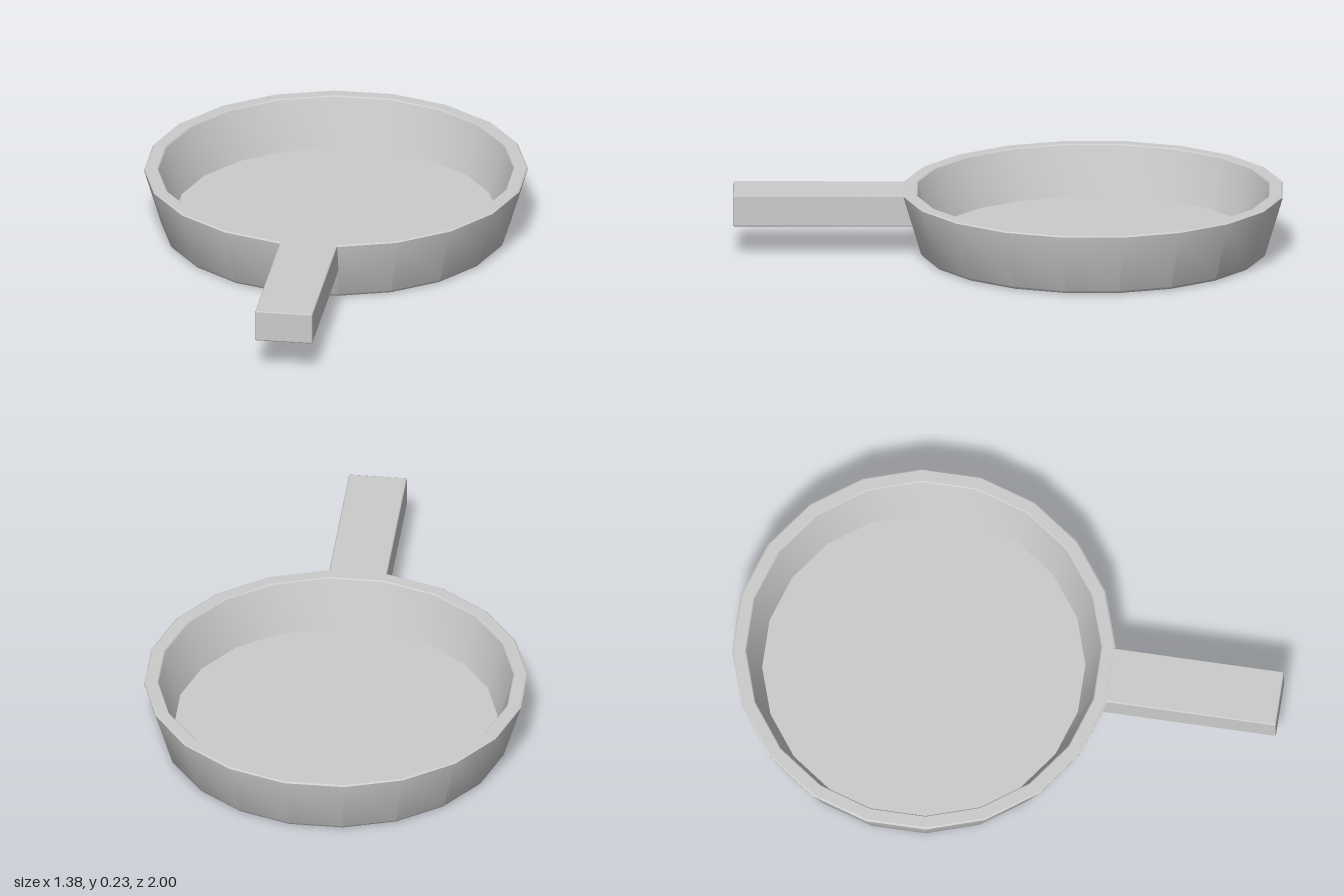
import * as THREE from 'three';
import { toCreasedNormals } from 'three/addons/utils/BufferGeometryUtils.js';
import { RoundedBoxGeometry } from 'three/addons/geometries/RoundedBoxGeometry.js';

const SIDES = 20;
const CENTRE_Z = -0.31;
const TOP = 0.233;

export function createModel() {
  const model = new THREE.Group();
  model.name = 'fryingPan';
  const material = new THREE.MeshStandardMaterial({ color: 0xcccccc });

  // Bowl: a hollow, flared 20-sided wall with a thick floor and bevelled edges
  const profile = [
    [0, 0], [0.617, 0], [0.627, 0.003], [0.634, 0.012], // underside
    [0.697, 0.222], [0.698, 0.229], [0.692, TOP], // outer wall and lip
    [0.65, TOP], [0.646, 0.229], // rim
    [0.588, 0.05], [0, 0.05], // inner wall and floor
  ].map(([r, y]) => new THREE.Vector2(r, y));
  const bowlGeometry = new THREE.LatheGeometry(profile, SIDES, Math.PI / SIDES);
  const bowl = new THREE.Mesh(toCreasedNormals(bowlGeometry, 0.4), material);
  bowl.name = 'bowl';
  bowl.position.z = CENTRE_Z;
  model.add(bowl);

  // Handle: a straight bar flush with the rim, its inner end following the wall's slope
  const bottom = 0.115, height = TOP - bottom, inner = 0.335, length = 1 - inner;
  const handleGeometry = new RoundedBoxGeometry(0.212, height, length, 1, 0.006);
  const p = handleGeometry.attributes.position;
  for (let i = 0; i < p.count; i++) {
    if (p.getZ(i) < 0) p.setZ(i, p.getZ(i) + 0.035 * (p.getY(i) / height + 0.5));
  }
  const handle = new THREE.Mesh(handleGeometry, material);
  handle.name = 'handle';
  handle.position.set(0, bottom + height / 2, inner + length / 2);
  model.add(handle);

  return model;
}
